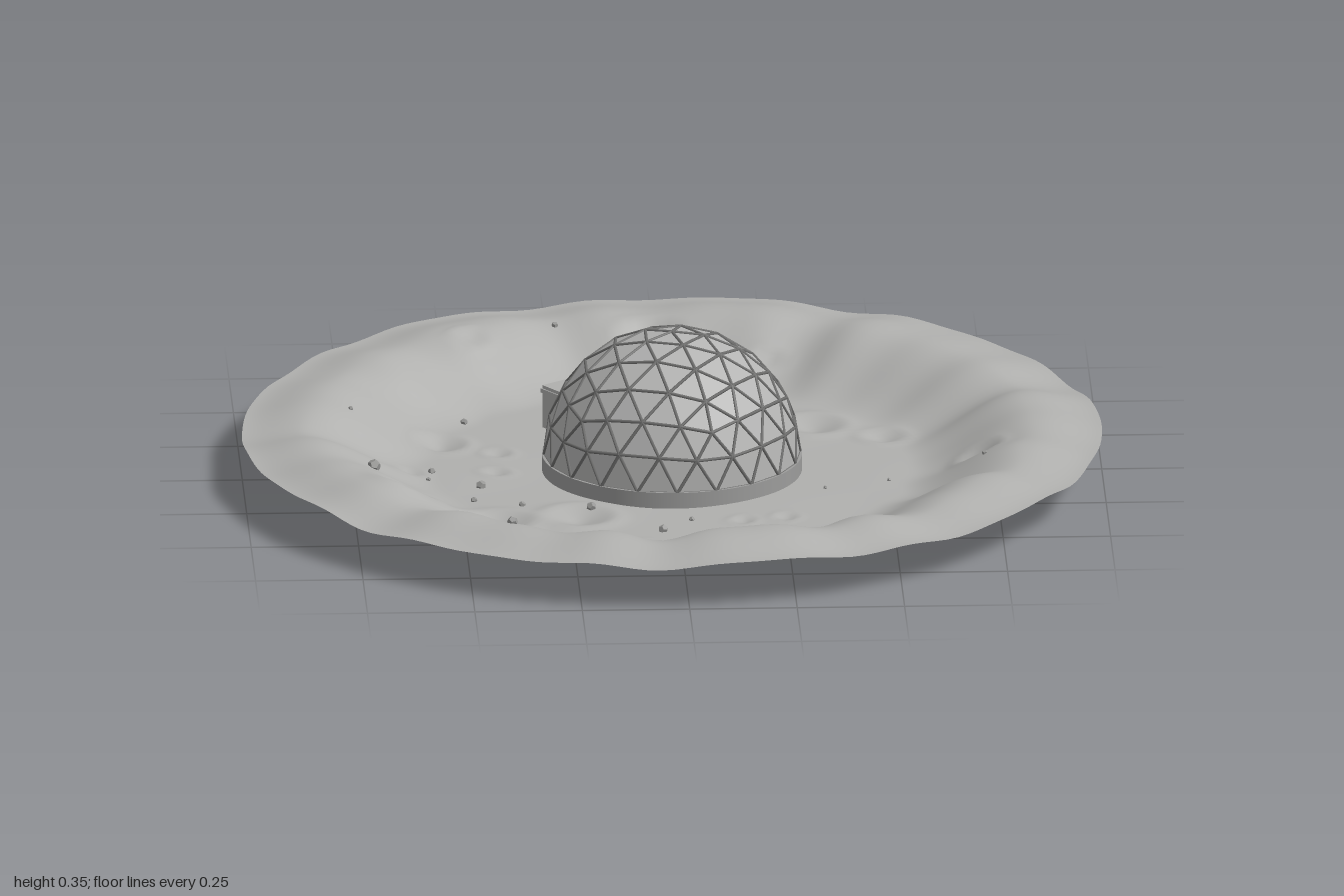
import * as THREE from 'three';
import { mergeGeometries, mergeVertices } from 'three/addons/utils/BufferGeometryUtils.js';

const mat = (name, color, extra = {}) => {
  const m = new THREE.MeshStandardMaterial({ color, ...extra });
  m.name = name;
  return m;
};

// Crater pits: x, z, radius
const PITS = [
  [-0.02, -0.74, 0.085], [-0.44, -0.66, 0.05], [0.34, -0.3, 0.085], [-0.06, -0.38, 0.05],
  [-0.14, -0.36, 0.06], [-0.53, -0.19, 0.07], [-0.63, 0.36, 0.08], [-0.42, 0.39, 0.09],
  [-0.23, 0.36, 0.09], [0.03, 0.57, 0.04], [-0.09, 0.57, 0.04], [0.71, 0.1, 0.06],
  [0.25, -0.65, 0.04], [0.5, -0.21, 0.06], [-0.41, 0.02, 0.04], [-0.61, 0.03, 0.04],
  [0.15, 0.4, 0.035], [0.25, 0.38, 0.035], [-0.4, -0.12, 0.04],
];

// Loose rocks: x, z, radius
const ROCKS = [
  [-0.24, -0.79, 0.008], [0.01, -0.64, 0.006], [0.27, -0.44, 0.011], [0.29, -0.435, 0.006],
  [0.03, -0.375, 0.012], [-0.04, -0.4, 0.006], [-0.47, -0.34, 0.009], [-0.74, -0.19, 0.006],
  [-0.56, 0.02, 0.009], [-0.57, 0.08, 0.006], [-0.45, 0.13, 0.013], [-0.7, 0.16, 0.016],
  [-0.47, 0.23, 0.008], [-0.36, 0.27, 0.008], [-0.2, 0.3, 0.012], [0.03, 0.39, 0.007],
  [-0.04, 0.47, 0.012], [0.43, 0.5, 0.009], [-0.4, 0.7, 0.013], [0.72, 0.19, 0.007],
  [0.5, 0.12, 0.005], [0.35, 0.17, 0.005],
];

// Height of the ground: flat floor, steep bank, wavy rim and pits
function groundHeight(x, z) {
  const r = Math.hypot(x, z), a = Math.atan2(z, x);
  const wave = 0.35 * Math.sin(5 * a + 0.7) + 0.35 * Math.sin(9 * a + 2.1)
    + 0.4 * Math.sin(16 * a + 4) + 0.25 * Math.sin(25 * a + 1);
  const bank = THREE.MathUtils.smoothstep(r + 0.018 * wave, 0.56, 0.85);
  const lip = THREE.MathUtils.smoothstep(r, 0.85, 1);
  let y = 0.021 + 0.108 * bank - 0.023 * lip;
  y += 0.014 * wave * bank * (1 - 0.3 * lip);
  y += 0.0015 * Math.sin(13 * x + 2) * Math.sin(11 * z + 1);
  for (const [px, pz, s] of PITS) {
    const d = Math.hypot(x - px, z - pz) / s;
    if (d < 1.6) y += s * (-0.19 * Math.exp(-d * d * 4) + 0.07 * Math.exp(-(((d - 0.95) / 0.25) ** 2)));
  }
  return y;
}

function makeGround() {
  const flat = new THREE.RingGeometry(0, 1, 192, 84).rotateX(-Math.PI / 2);
  flat.deleteAttribute('uv');
  flat.deleteAttribute('normal');
  const geo = mergeVertices(flat, 1e-5);
  const p = geo.attributes.position;
  for (let i = 0; i < p.count; i++) p.setY(i, groundHeight(p.getX(i), p.getZ(i)));
  geo.computeVertexNormals();
  return geo;
}

// Upper half of a geodesic sphere standing on one corner, so its equator is a clean row of edges
function makeDome(R) {
  const up = new THREE.Vector3(0, 1, 0);
  const pole = new THREE.Vector3(0, (1 + Math.sqrt(5)) / 2, 1).normalize();
  pole.set(0, pole.z, pole.y);
  const ico = new THREE.IcosahedronGeometry(R, 3);
  const corner = new THREE.Vector3(-1, (1 + Math.sqrt(5)) / 2, 0).normalize();
  ico.applyQuaternion(new THREE.Quaternion().setFromUnitVectors(corner, up));
  const src = ico.attributes.position;
  const corners = [], edges = new Map();
  const key = (v) => v.toArray().map((n) => Math.round(n * 1000) + 0).join();
  for (let i = 0; i < src.count; i += 3) {
    const tri = [0, 1, 2].map((k) => new THREE.Vector3().fromBufferAttribute(src, i + k));
    if (tri[0].y + tri[1].y + tri[2].y < 0.01) continue;
    tri.forEach((v, k) => {
      corners.push(...v.toArray());
      const w = tri[(k + 1) % 3];
      edges.set([key(v), key(w)].sort().join('|'), [v, w]);
    });
  }
  const panels = new THREE.BufferGeometry();
  panels.setAttribute('position', new THREE.Float32BufferAttribute(corners, 3));
  panels.computeVertexNormals();

  const bars = [...edges.values()].map(([a, b]) => {
    const dir = b.clone().sub(a), len = dir.length();
    const q = new THREE.Quaternion().setFromUnitVectors(up, dir.normalize());
    const mid = a.clone().add(b).multiplyScalar(0.5);
    return new THREE.CylinderGeometry(0.004, 0.004, len, 6).applyQuaternion(q)
      .translate(mid.x, mid.y, mid.z);
  });
  return { panels, struts: mergeGeometries(bars) };
}

export function createModel() {
  const model = new THREE.Group();
  model.name = 'craterDomeBase';
  const soil = mat('soil grey', 0xb0b0ae, { side: THREE.DoubleSide });
  const panel = mat('panel grey', 0xb3b3b2, { flatShading: true, side: THREE.DoubleSide });
  const frame = mat('frame dark grey', 0x6e6e6d);
  const metal = mat('base grey', 0x9c9c9b);
  const rock = mat('rock grey', 0x979795, { flatShading: true });

  const add = (parent, name, geo, material, x = 0, y = 0, z = 0) => {
    const m = new THREE.Mesh(geo, material);
    m.name = name;
    m.position.set(x, y, z);
    parent.add(m);
    return m;
  };

  add(model, 'craterGround', makeGround(), soil);

  // Dome on its foundation ring
  const dome = new THREE.Group();
  dome.name = 'dome';
  model.add(dome);
  const { panels, struts } = makeDome(0.298);
  add(dome, 'domePanels', panels, panel, 0, 0.055, 0);
  add(dome, 'domeStruts', struts, frame, 0, 0.055, 0);
  add(dome, 'foundationRing', new THREE.CylinderGeometry(0.303, 0.303, 0.042, 64), metal, 0, 0.037, 0);

  // Airlock porch: local +z points outwards from the dome
  const porch = new THREE.Group();
  porch.name = 'airlock';
  porch.position.set(-0.257, 0.017, -0.335);
  porch.rotation.y = Math.atan2(-0.59, -0.81);
  model.add(porch);
  add(porch, 'airlockBody', new THREE.BoxGeometry(0.084, 0.09, 0.137), soil, 0, 0.045, -0.0715);
  add(porch, 'airlockRoof', new THREE.BoxGeometry(0.09, 0.01, 0.14), soil, 0, 0.095, -0.07);
  add(porch, 'airlockRoofCap', new THREE.BoxGeometry(0.084, 0.008, 0.134), soil, 0, 0.104, -0.07);

  // Flag on a thin pole beside the airlock
  const flag = new THREE.Group();
  flag.name = 'flag';
  flag.position.set(-0.172, 0.015, -0.392);
  flag.rotation.y = -0.1;
  model.add(flag);
  add(flag, 'flagPole', new THREE.CylinderGeometry(0.003, 0.003, 0.14, 8), frame, 0, 0.07, 0);
  add(flag, 'flagCloth', new THREE.BoxGeometry(0.06, 0.036, 0.003), soil, 0.03, 0.121, 0);

  // Scattered rocks
  ROCKS.forEach(([x, z, r], i) => {
    const m = add(model, 'rock', new THREE.DodecahedronGeometry(r), rock, x, groundHeight(x, z) + r * 0.3, z);
    m.rotation.set(i, i * 2.3, 0);
  });
  return model;
}
